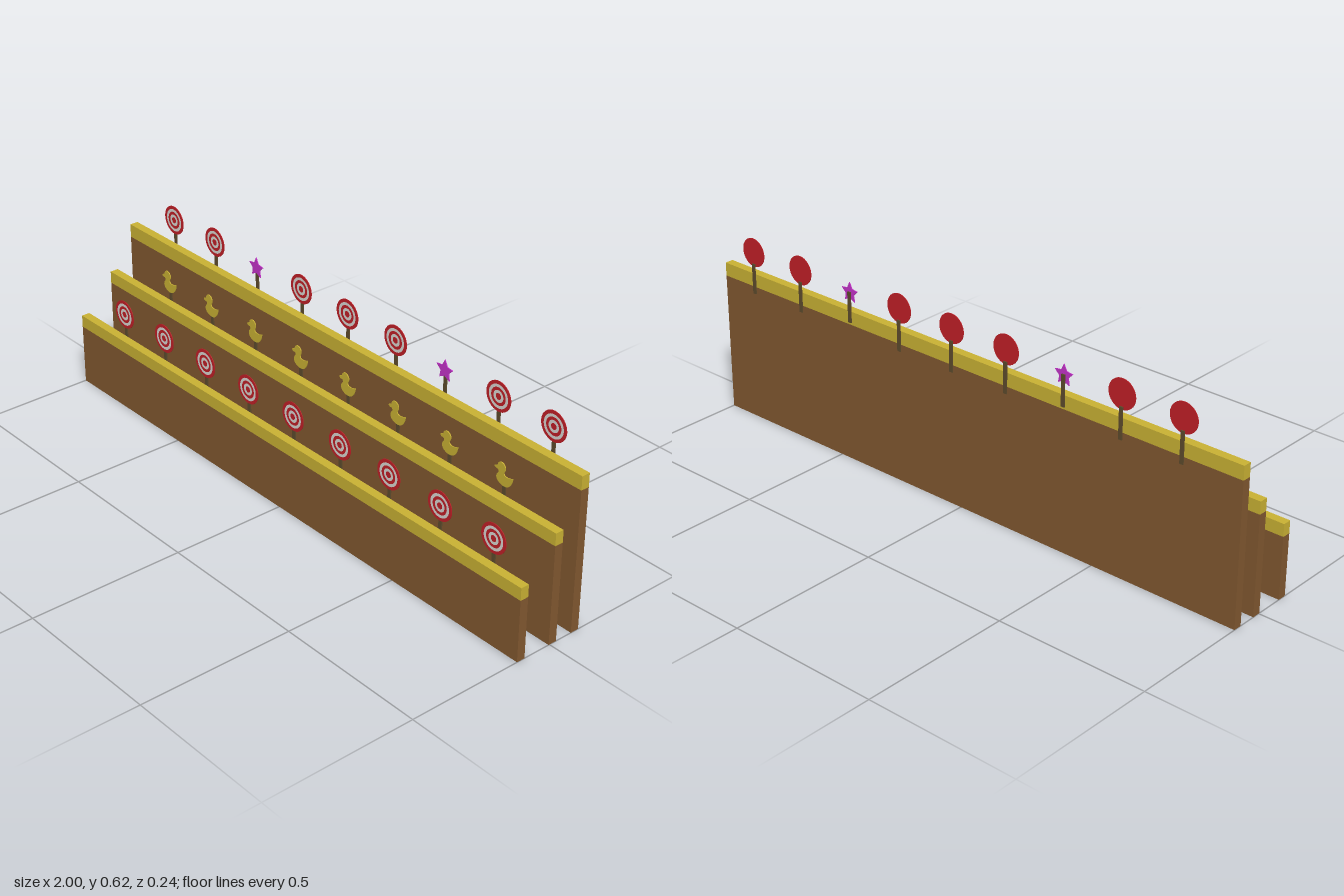
import * as THREE from 'three';

const mat = (color) => new THREE.MeshStandardMaterial({ color });
const brown = mat(0x80572f), gold = mat(0xc8b033), red = mat(0xc01f26);
const white = mat(0xd8d4d0), purple = mat(0xc233c8), wood = mat(0x5c4a2c);

function add(parent, name, geometry, material, x, y, z) {
  const mesh = new THREE.Mesh(geometry, material);
  mesh.name = name;
  mesh.position.set(x, y, z);
  parent.add(mesh);
  return mesh;
}

// Thin cut-out centred on z = 0
function cutout(shape, depth) {
  return new THREE.ExtrudeGeometry(shape, { depth, bevelEnabled: false, curveSegments: 8 })
    .translate(0, 0, -depth / 2);
}

function starShape(outer, inner) {
  const s = new THREE.Shape();
  for (let i = 0; i < 10; i++) {
    const r = i % 2 ? inner : outer, a = Math.PI / 2 + (i * Math.PI) / 5;
    s[i ? 'lineTo' : 'moveTo'](r * Math.cos(a), r * Math.sin(a));
  }
  return s;
}

// Duck silhouette, beak toward -x, origin at its middle
function duckShape() {
  const s = new THREE.Shape();
  s.moveTo(-0.022, -0.026);
  s.quadraticCurveTo(-0.012, -0.035, 0.004, -0.035);
  s.quadraticCurveTo(0.03, -0.034, 0.035, 0.003);
  s.quadraticCurveTo(0.022, -0.004, 0.01, -0.003);
  s.quadraticCurveTo(0.0, -0.002, 0.001, 0.006);
  s.quadraticCurveTo(0.007, 0.014, 0.005, 0.024);
  s.quadraticCurveTo(0.0, 0.035, -0.011, 0.035);
  s.quadraticCurveTo(-0.023, 0.034, -0.024, 0.021);
  s.lineTo(-0.036, 0.015);
  s.quadraticCurveTo(-0.033, 0.008, -0.022, 0.009);
  s.quadraticCurveTo(-0.017, 0.004, -0.021, -0.001);
  s.quadraticCurveTo(-0.033, -0.014, -0.022, -0.026);
  return s;
}

const starGeometry = cutout(starShape(0.034, 0.017), 0.003);
const duckGeometry = cutout(duckShape(), 0.003);
const stickGeometry = new THREE.BoxGeometry(0.012, 0.1, 0.004);
const discGeometry = new THREE.CylinderGeometry(0.047, 0.047, 0.002, 32).rotateX(Math.PI / 2);
const ringGeometries = [0.037, 0.028, 0.019, 0.01].map((r, i, all) =>
  i < 3 ? new THREE.RingGeometry(all[i + 1], r, 32) : new THREE.CircleGeometry(r, 24));

// Red disc with alternating rings on its front
function addTarget(parent) {
  add(parent, 'targetDisc', discGeometry, red, 0, 0, 0);
  ringGeometries.forEach((g, i) =>
    add(parent, 'targetRing', g, i % 2 ? red : white, 0, 0, 0.0014));
}

function addFigure(parent, kind, x, y, z) {
  const figure = new THREE.Group();
  figure.name = kind;
  figure.position.set(x, y, z);
  if (kind === 'target') addTarget(figure);
  else if (kind === 'star') add(figure, 'starCutout', starGeometry, purple, 0, 0, 0);
  else add(figure, 'duckCutout', duckGeometry, gold, 0, 0, 0);
  // Stick behind the figure
  const drop = { target: 0.087, star: 0.047, duck: 0.08 }[kind];
  add(figure, 'stick', stickGeometry, wood, 0, -drop, -0.0033);
  parent.add(figure);
}

export function createModel() {
  const model = new THREE.Group();
  model.name = 'shootingGallery';

  const rows = [
    { name: 'frontRow', z: 0.109, top: 0.24, band: 0.04, kind: 'target', count: 9, x0: -0.805, step: 0.208, y: 0.311, fz: 0.09 },
    { name: 'middleRow', z: -0.011, top: 0.36, band: 0.04, kind: 'duck', count: 8, x0: -0.72, step: 0.213, y: 0.42, fz: -0.0275 },
    { name: 'backRow', z: -0.097, top: 0.502, band: 0.044, kind: 'target', count: 9, x0: -0.805, step: 0.208, y: 0.577, fz: -0.1162 },
  ];

  for (const r of rows) {
    const row = new THREE.Group();
    row.name = r.name;
    const h = r.top - r.band;
    // Board with a gold strip along its top
    add(row, 'board', new THREE.BoxGeometry(2, h, 0.028), brown, 0, h / 2, r.z);
    add(row, 'topStrip', new THREE.BoxGeometry(2, r.band, 0.028), gold, 0, h + r.band / 2, r.z);
    for (let i = 0; i < r.count; i++) {
      const star = r.name === 'backRow' && (i === 2 || i === 6);
      const x = r.x0 + i * r.step - (star ? 0.004 : 0);
      addFigure(row, star ? 'star' : r.kind, x, star ? 0.567 : r.y, r.fz);
    }
    model.add(row);
  }
  return model;
}
